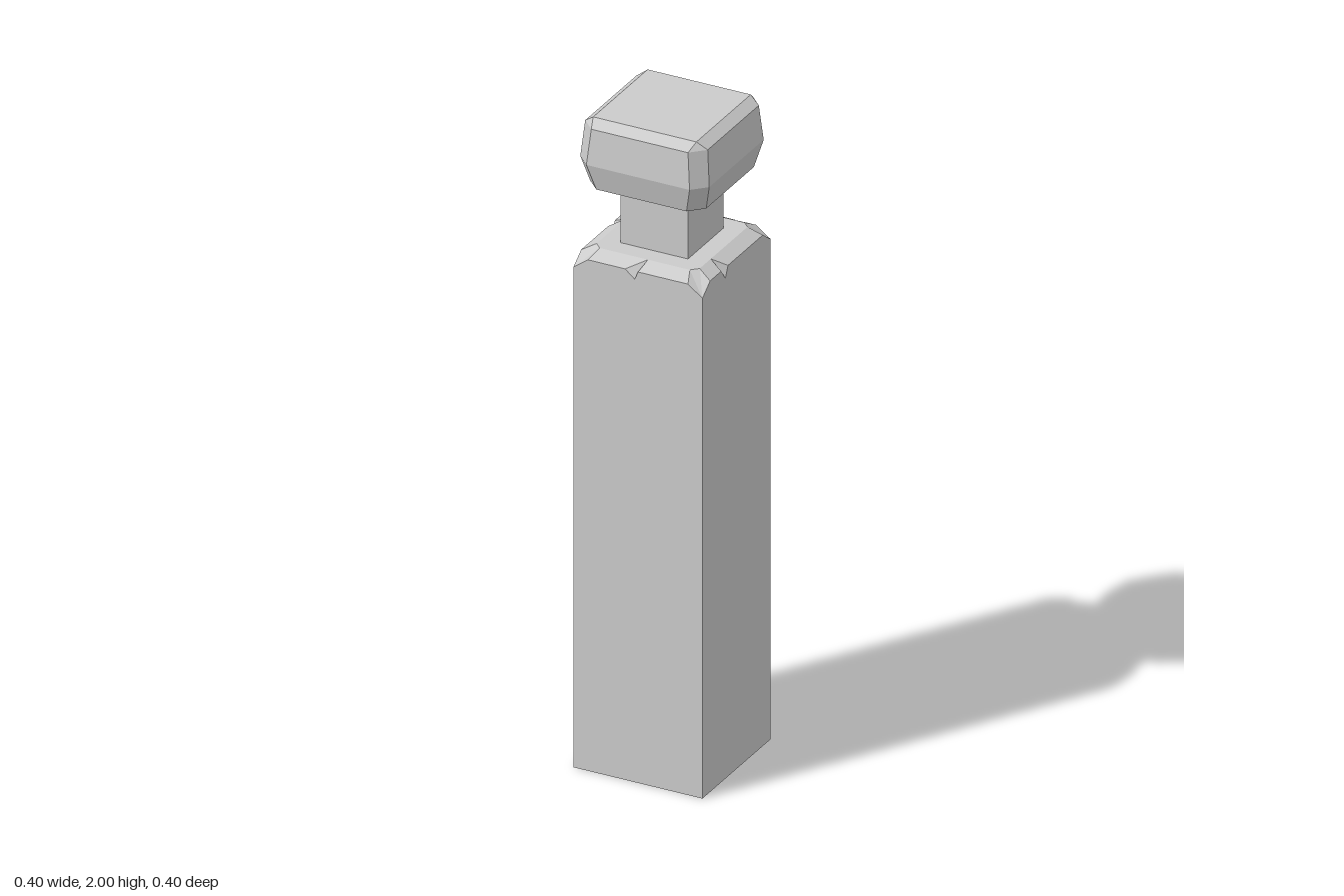
import * as THREE from 'three';

const grey = new THREE.MeshStandardMaterial({ color: 0xcccccc, flatShading: true, side: THREE.DoubleSide });

// Convex polygons (corners counter-clockwise from outside) to a faceted mesh
function facetMesh(polys, name) {
  const pos = [];
  for (const p of polys) {
    for (let i = 1; i < p.length - 1; i++) pos.push(...p[0], ...p[i], ...p[i + 1]);
  }
  const geo = new THREE.BufferGeometry();
  geo.setAttribute('position', new THREE.Float32BufferAttribute(pos, 3));
  geo.computeVertexNormals();
  const mesh = new THREE.Mesh(geo, grey);
  mesh.name = name;
  return mesh;
}

// Square ring of half width h with cut corners; c is where each cut starts
function ring(h, c, y) {
  return [[-c, h], [c, h], [h, c], [h, -c], [c, -h], [-c, -h], [-h, -c], [-h, c]].map(([x, z]) => [x, y, z]);
}

// Quarter turns about the vertical axis
function turn([x, y, z], k) {
  for (let i = 0; i < k; i++) [x, z] = [z, -x];
  return [x, y, z];
}

// Post: four walls with a bevelled, nicked top edge and an open base
function createPost() {
  const W = 0.2, EDGE = 1.578, TOP = 1.6, CORNER = 1.545;
  const nick = (s, tip = 1.545) => ({ a: s - 0.02, b: s, c: s + 0.02, d: s, tip });
  const nicks = [
    [{ a: -0.04, b: -0.01, c: 0, d: 0.01, tip: 1.553 }],
    [{ a: -0.09, b: -0.065, c: -0.05, d: -0.075, tip: 1.545 }],
    [nick(-0.11), nick(0.015), nick(0.134)],
    [nick(-0.023, 1.53)],
  ];
  const polys = [];
  nicks.forEach((list, k) => {
    const add = (...p) => polys.push(p.map((v) => turn(v, k)));
    const outer = (s, y = EDGE) => [s, y, W];
    const inner = (s) => [s, TOP, 0.16];
    const rim = [outer(-W, CORNER), outer(-0.155)];
    let lastOut = rim[1], lastIn = inner(-0.14);
    // bevel strip interrupted by V-shaped nicks
    for (const n of list) {
      const a = outer(n.a), b = outer(n.b, n.tip), c = outer(n.c), d = inner(n.d);
      add(lastOut, a, d, lastIn);
      add(a, b, d);
      add(b, c, d);
      rim.push(a, b, c);
      lastOut = c;
      lastIn = d;
    }
    const endOut = outer(0.155), endIn = inner(0.14);
    add(lastOut, endOut, endIn, lastIn);
    rim.push(endOut, outer(W, CORNER));
    // wall below the nicked rim
    for (let i = 0; i < rim.length - 1; i++) {
      const p = rim[i], q = rim[i + 1];
      add([p[0], 0, W], [q[0], 0, W], q, p);
    }
    // clipped corner
    add([W, CORNER, W], [W, EDGE, 0.155], [0.16, TOP, 0.14], endIn, endOut);
  });
  polys.push(ring(0.16, 0.14, TOP));
  return facetMesh(polys, 'post');
}

// Cap: stacked cut-corner rings, tapering above and below its widest line
function createCap() {
  const rings = [
    ring(0.18, 0.14, 1.79),
    ring(0.2, 0.16, 1.87),
    ring(0.19, 0.15, 1.978),
    ring(0.16, 0.16, 2),
  ];
  const polys = [[...rings[0]].reverse(), [1, 3, 5, 7].map((i) => rings[3][i])];
  for (let r = 0; r < 3; r++) {
    for (let i = 0; i < 8; i++) {
      const j = (i + 1) % 8;
      polys.push([rings[r][i], rings[r][j], rings[r + 1][j], rings[r + 1][i]]);
    }
  }
  return facetMesh(polys, 'cap');
}

export function createModel() {
  const group = new THREE.Group();
  group.name = 'fencePost';

  // Square neck between post and cap
  const neck = new THREE.Mesh(new THREE.BoxGeometry(0.21, 0.19, 0.21), grey);
  neck.name = 'neck';
  neck.position.y = 1.695;

  group.add(createPost(), neck, createCap());
  return group;
}
